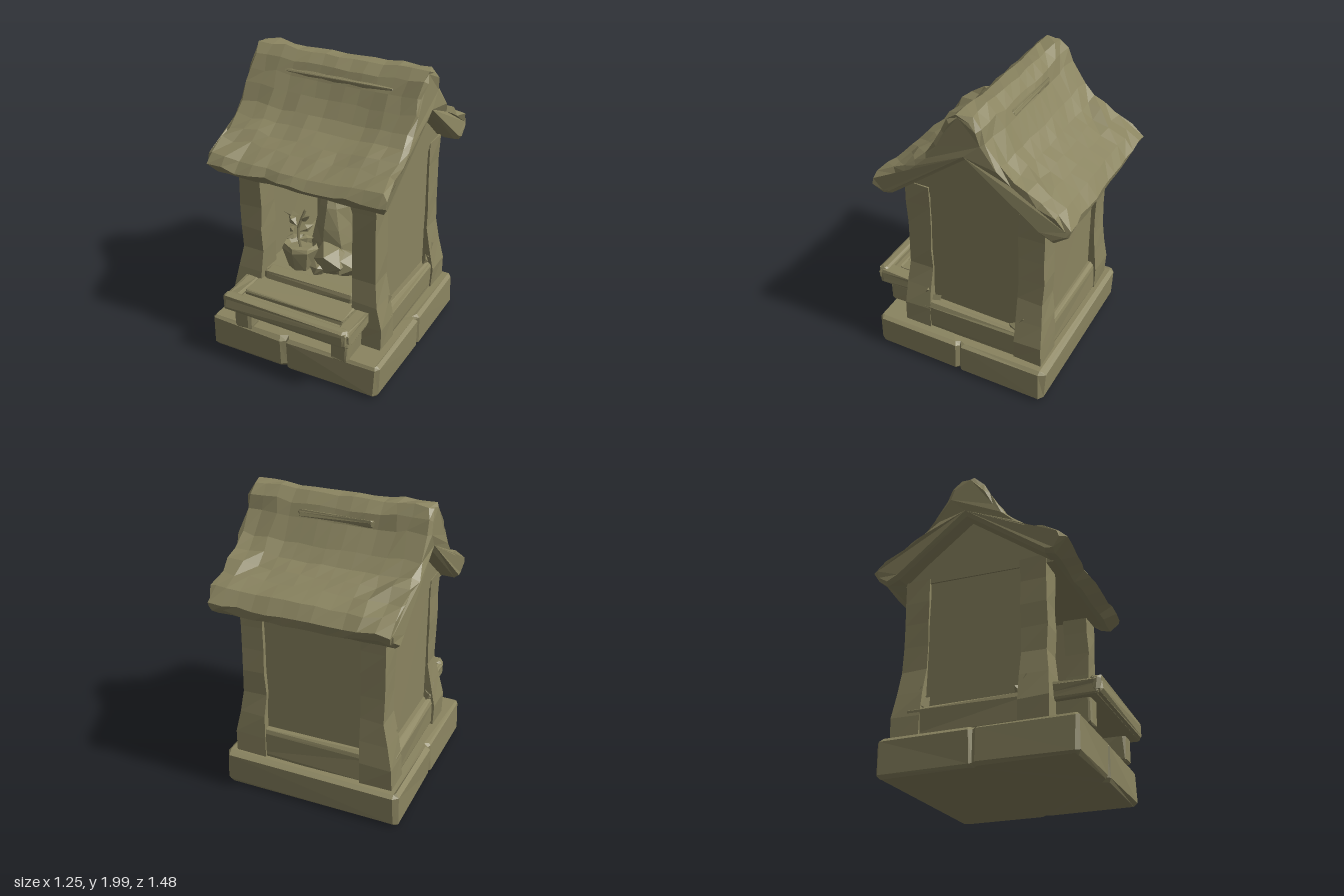
import * as THREE from 'three';
import { mergeVertices } from 'three/addons/utils/BufferGeometryUtils.js';
import { RoundedBoxGeometry } from 'three/addons/geometries/RoundedBoxGeometry.js';

export function createModel() {
  const model = new THREE.Group();
  model.name = 'stoneShrine';
  const stone = new THREE.MeshStandardMaterial({ color: 0x8a8460 });
  stone.name = 'mossy stone';
  stone.flatShading = true;

  let seed = 7;
  const rand = () => {
    seed = (seed * 16807) % 2147483647;
    return seed / 1073741823.5 - 1;
  };

  // Weld corners, move each by a rule and a little noise, then split into facets
  function rough(geometry, amount, rule) {
    geometry.deleteAttribute('normal');
    geometry.deleteAttribute('uv');
    geometry.clearGroups();
    const g = mergeVertices(geometry, 1e-3);
    const p = g.attributes.position, v = new THREE.Vector3();
    for (let i = 0; i < p.count; i++) {
      v.fromBufferAttribute(p, i);
      if (rule) rule(v);
      p.setXYZ(i, v.x + rand() * amount, v.y + rand() * amount, v.z + rand() * amount);
    }
    const flat = g.toNonIndexed();
    flat.computeVertexNormals();
    return flat;
  }

  function add(name, geometry, parent = model) {
    const mesh = new THREE.Mesh(geometry, stone);
    mesh.name = name;
    parent.add(mesh);
    return mesh;
  }

  // Chamfered, slightly uneven block given by its extents
  function block(name, [x0, x1], [y0, y1], [z0, z1], chamfer = 0.015, amount = 0.006) {
    const g = new RoundedBoxGeometry(x1 - x0, y1 - y0, z1 - z0, 1, chamfer);
    g.translate((x0 + x1) / 2, (y0 + y1) / 2, (z0 + z1) / 2);
    return add(name, rough(g, amount));
  }

  function extrude(points, depth, bevel, steps = 1) {
    const shape = new THREE.Shape(points.map(([a, b]) => new THREE.Vector2(a, b)));
    const g = new THREE.ExtrudeGeometry(shape, {
      depth: depth - 2 * bevel, steps, bevelEnabled: bevel > 0,
      bevelSize: bevel, bevelThickness: bevel, bevelOffset: -bevel, bevelSegments: 1,
    });
    return g.translate(0, 0, bevel - depth / 2);
  }

  // Base slab with clipped corners and cracks in the front and sides (plan is x, -z)
  const plan = [
    [-0.62, -0.62], [-0.6, -0.645], [-0.08, -0.64], [-0.05, -0.615], [-0.03, -0.64], [0.6, -0.63], [0.625, -0.6],
    [0.62, -0.02], [0.6, 0], [0.62, 0.02], [0.62, 0.59], [0.59, 0.625],
    [-0.59, 0.625], [-0.62, 0.6], [-0.62, 0.02], [-0.6, 0], [-0.62, -0.02],
  ];
  add('baseSlab', rough(extrude(plan, 0.24, 0.02).rotateX(-Math.PI / 2).translate(0, 0.132, 0), 0.006));

  // Corner posts, spreading out at the foot
  for (const sx of [-1, 1]) {
    for (const [sz, zMid] of [[1, 0.335], [-1, -0.46]]) {
      const g = new THREE.BoxGeometry(0.16, 1.12, 0.17, 1, 7, 1).translate(sx * 0.41, 0.8, zMid);
      const post = rough(g, 0.006, (v) => {
        const t = THREE.MathUtils.clamp((0.72 - v.y) / 0.32, 0, 1);
        v.x += sx * 0.06 * t * (v.x * sx > 0.41 ? 1 : 0.2);
        v.z += sz * 0.025 * t * ((v.z - zMid) * sz > 0 ? 1 : 0);
      });
      add(sz > 0 ? 'frontPost' : 'backPost', post);
      // Rubble heaped where each post meets the sill
      for (let i = 0; i < 3; i++) {
        const chip = add('rubble', rough(new THREE.TetrahedronGeometry(0.075), 0.015));
        chip.scale.set(0.6, 1.2, 1);
        chip.rotation.y = i * 1.3;
        chip.position.set(sx * (0.5 - i * 0.015), 0.46 + i * 0.07, zMid - sz * (0.08 - i * 0.03));
      }
    }
    // Shallow side panel above a thick sill
    block('sideWall', [sx * 0.425 - 0.05, sx * 0.425 + 0.05], [0.25, 1.36], [-0.42, 0.28], 0.01, 0.003);
    block('sideSill', [sx * 0.455 - 0.085, sx * 0.455 + 0.085], [0.24, 0.46], [-0.5, 0.36], 0.035, 0.008);
  }
  block('backWall', [-0.38, 0.38], [0.25, 1.36], [-0.515, -0.43], 0.01, 0.003);
  block('backSill', [-0.45, 0.45], [0.24, 0.47], [-0.565, -0.42], 0.035, 0.008);
  block('floor', [-0.42, 0.42], [0.25, 0.56], [-0.45, 0.38], 0.015, 0.004);
  block('threshold', [-0.34, 0.33], [0.45, 0.57], [0.3, 0.41], 0.02, 0.006);

  // Gable block under the roof
  const gable = extrude([[-0.56, 1.33], [-0.08, 1.73], [0.48, 1.3]], 0.97, 0);
  add('gable', rough(gable.rotateY(-Math.PI / 2), 0.003));

  // Roof: profile is z, y; ragged ends, a sunken middle and a split eave
  const profile = [
    [-0.635, 1.31], [-0.72, 1.37], [-0.735, 1.43], [-0.67, 1.51], [-0.56, 1.555], [-0.47, 1.595], [-0.38, 1.64],
    [-0.3, 1.715], [-0.21, 1.85], [-0.18, 1.93], [-0.12, 1.995], [-0.03, 1.995], [0.03, 1.94],
    [0.075, 1.855], [0.125, 1.765], [0.19, 1.67], [0.26, 1.605], [0.35, 1.55], [0.43, 1.505], [0.55, 1.435],
    [0.595, 1.38], [0.52, 1.295], [0.45, 1.31], [-0.08, 1.71], [-0.55, 1.35],
  ];
  const roof = extrude(profile, 1.21, 0.022, 12).rotateY(-Math.PI / 2);
  add('roof', rough(roof, 0.006, (v) => {
    const run = Math.abs(v.z + 0.08);
    const end = Math.abs(v.x) > 0.33;
    const outer = v.y > 1.78 - 0.75 * run;
    if (!end && outer) v.y -= 0.015;
    if (Math.abs(v.x + 0.2) < 0.05 && v.z > 0.5) v.z -= 0.02;
    if (end && outer) {
      const wear = run > 0.35 ? 0.018 : 0.009;
      v.x += rand() * 0.016;
      v.y += rand() * wear - 0.004;
      v.z += rand() * wear;
    }
  }));
  // Overhanging lip under the front and back of the middle ridge
  block('ridgeLip', [-0.34, 0.42], [1.835, 1.88], [-0.02, 0.068], 0.012, 0.005);
  block('ridgeLip', [-0.26, 0.24], [1.83, 1.88], [-0.21, -0.13], 0.012, 0.005);

  // Offering shelf on two feet, with a raised rim
  for (const sx of [-1, 1]) {
    block('shelfFoot', [sx * 0.36 - 0.06, sx * 0.36 + 0.06], [0.24, 0.43], [0.38, 0.65], 0.015);
    block('shelfSideRim', [sx * 0.41 - 0.055, sx * 0.41 + 0.055], [0.42, 0.515], [0.4, 0.71], 0.025, 0.008);
  }
  block('shelf', [-0.46, 0.455], [0.4, 0.485], [0.38, 0.71], 0.015);
  block('shelfFrontRim', [-0.46, 0.45], [0.405, 0.525], [0.65, 0.73], 0.028, 0.006);
  block('shelfBackStep', [-0.37, 0.37], [0.45, 0.515], [0.38, 0.6], 0.015);

  // Standing stone figure
  const outline = [[0, 0.56], [0.15, 0.56], [0.145, 0.74], [0.13, 0.86], [0.1, 1.0], [0.065, 1.1], [0.03, 1.13], [0, 1.135]];
  const figure = new THREE.LatheGeometry(outline.map(([r, y]) => new THREE.Vector2(r, y)), 8);
  add('standingStone', rough(figure, 0.012)).position.set(0, 0, 0.05);

  // Rocks at its foot
  for (const [x, y, z, r] of [[0.06, 0.65, 0.18, 0.125], [0.14, 0.63, 0.15, 0.1], [-0.01, 0.6, 0.24, 0.07]]) {
    add('rock', rough(new THREE.IcosahedronGeometry(r, 0), 0.018)).position.set(x, y, z);
  }

  // Bowl with a sprig of leaves
  const bowl = new THREE.LatheGeometry([[0, 0.56], [0.085, 0.56], [0.125, 0.71], [0.11, 0.735], [0.09, 0.7], [0, 0.7]]
    .map(([r, y]) => new THREE.Vector2(r, y)), 7);
  add('bowl', rough(bowl, 0.006)).position.set(-0.16, 0, 0.22);
  const sprig = new THREE.Group();
  sprig.name = 'sprig';
  sprig.position.set(-0.16, 0.7, 0.22);
  model.add(sprig);
  const stem = new THREE.CatmullRomCurve3([[0, 0, 0], [-0.02, 0.12, 0], [0.03, 0.28, -0.02]].map((a) => new THREE.Vector3(...a)));
  add('stem', new THREE.TubeGeometry(stem, 4, 0.01, 5), sprig);
  for (let i = 0; i < 7; i++) {
    const side = i % 2 ? 1 : -1;
    const leaf = add('leaf', new THREE.OctahedronGeometry(0.055), sprig);
    leaf.scale.set(1, 0.5, 0.4);
    leaf.position.set(side * (0.065 - i * 0.004) - 0.01, 0.05 + i * 0.035, rand() * 0.03);
    leaf.rotation.set(rand(), rand(), side * 0.6);
  }
  return model;
}
